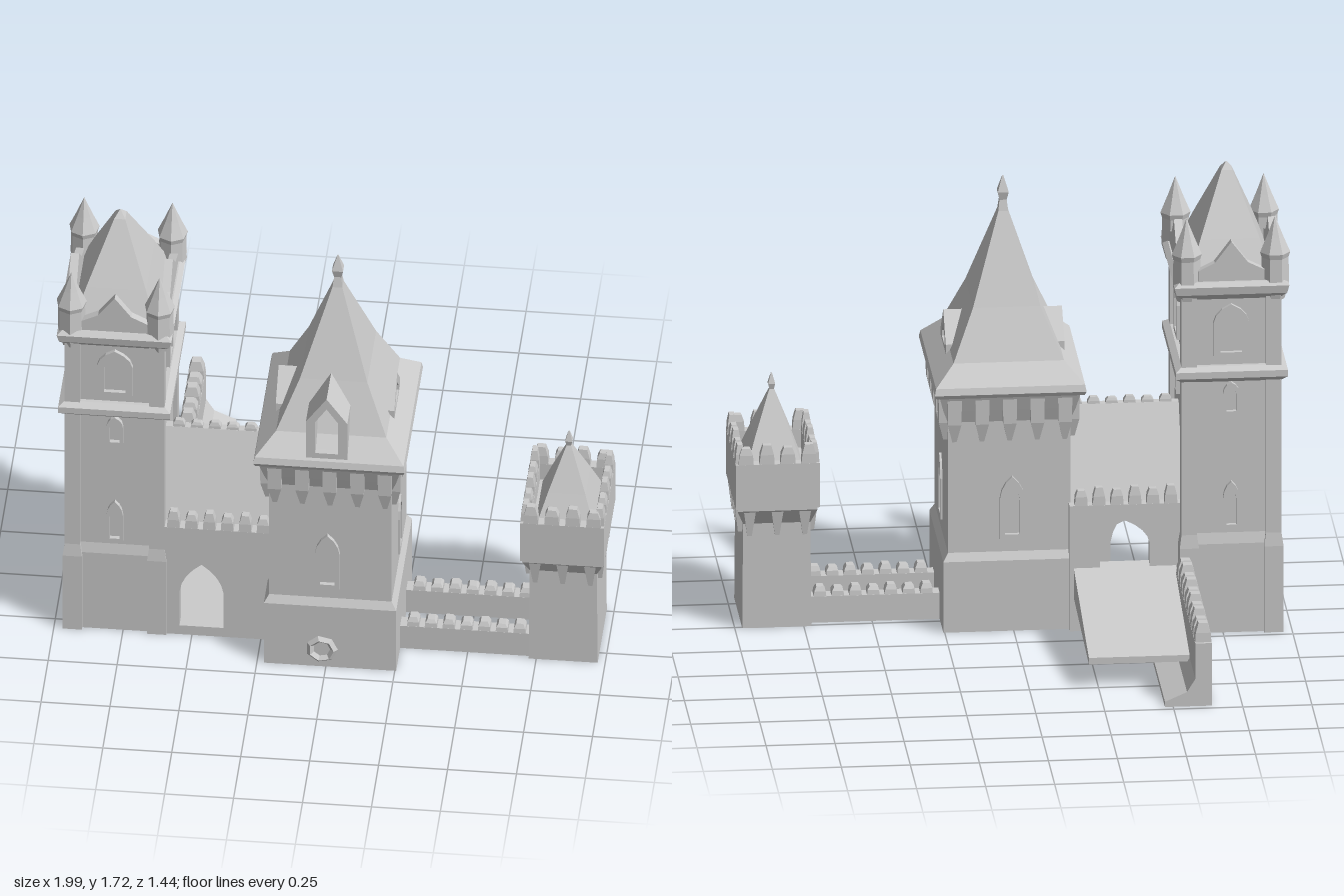
import * as THREE from 'three';

const mat = new THREE.MeshStandardMaterial({ color: 0xcccccc, flatShading: true, side: THREE.DoubleSide });

function add(parent, geo, name, x = 0, y = 0, z = 0) {
  const m = new THREE.Mesh(geo, mat);
  m.name = name;
  m.position.set(x, y, z);
  parent.add(m);
  return m;
}

function box(parent, name, x0, x1, y0, y1, z0, z1) {
  return add(parent, new THREE.BoxGeometry(x1 - x0, y1 - y0, z1 - z0), name, (x0 + x1) / 2, (y0 + y1) / 2, (z0 + z1) / 2);
}

// Solid of stacked rectangles; each ring is [y, halfX, halfZ]
function loft(parent, name, cx, cz, rings) {
  const p = [];
  const at = (r, k) => [[-1, 1], [1, 1], [1, -1], [-1, -1]][k % 4].map((s, i) => s * r[i + 1]);
  const v = (r, k) => { const [x, z] = at(r, k); return [x, r[0], z]; };
  for (let i = 0; i < rings.length - 1; i++) {
    const a = rings[i], b = rings[i + 1];
    for (let k = 0; k < 4; k++) {
      p.push(...v(a, k), ...v(a, k + 1), ...v(b, k + 1), ...v(a, k), ...v(b, k + 1), ...v(b, k));
    }
  }
  const lo = rings[0], hi = rings[rings.length - 1];
  p.push(...v(lo, 0), ...v(lo, 2), ...v(lo, 1), ...v(lo, 0), ...v(lo, 3), ...v(lo, 2));
  p.push(...v(hi, 0), ...v(hi, 1), ...v(hi, 2), ...v(hi, 0), ...v(hi, 2), ...v(hi, 3));
  const g = new THREE.BufferGeometry();
  g.setAttribute('position', new THREE.Float32BufferAttribute(p, 3));
  g.computeVertexNormals();
  return add(parent, g, name, cx, 0, cz);
}

// Row of tapered merlons along a wall top
function merlons(parent, x0, x1, z0, z1, y, h, n) {
  const alongX = x1 - x0 > z1 - z0;
  for (let i = 0; i < n; i++) {
    const t = (i + 0.5) / n, hx = (x1 - x0) / 2, hz = (z1 - z0) / 2;
    const a = alongX ? hx / n * 0.72 : hx, b = alongX ? hz : hz / n * 0.72;
    const top = y + h * (i % 2 ? 0.85 : 1);
    loft(parent, 'merlon', alongX ? x0 + t * 2 * hx : x0 + hx, alongX ? z0 + hz : z0 + t * 2 * hz,
      [[y - 0.005, a, b], [y + h * 0.5, a * 0.9, b * 0.9], [top, a * 0.55, b * 0.6]]);
  }
}

function archPath(C, w, y0, spring, top) {
  const s = new C();
  s.moveTo(-w, y0);
  s.lineTo(w, y0);
  s.lineTo(w, spring);
  s.quadraticCurveTo(w * 0.9, (spring + top) / 2 + 0.01, 0, top);
  s.quadraticCurveTo(-w * 0.9, (spring + top) / 2 + 0.01, -w, spring);
  s.closePath();
  return s;
}

// Raised pointed window frame, facing the given angle about y
function archWindow(parent, x, y, z, angle, w, h) {
  const s = archPath(THREE.Shape, w / 2, 0, h * 0.65, h);
  s.holes.push(archPath(THREE.Path, w * 0.3, h * 0.08, h * 0.62, h * 0.88));
  const g = new THREE.ExtrudeGeometry(s, { depth: 0.018, bevelEnabled: false, curveSegments: 3 });
  add(parent, g, 'windowFrame', x, y, z).rotation.y = angle;
}

// One window on each of the four faces
function windowsAround(parent, cx, cz, hx, hz, y, w, h) {
  archWindow(parent, cx, y, cz + hz, 0, w, h);
  archWindow(parent, cx + hx, y, cz, Math.PI / 2, w, h);
  archWindow(parent, cx, y, cz - hz, Math.PI, w, h);
  archWindow(parent, cx - hx, y, cz, -Math.PI / 2, w, h);
}

// Profile given as [z, y] points, extruded between x0 and x1
function sideProfile(parent, name, pts, x0, x1) {
  const s = new THREE.Shape(pts.map(([z, y]) => new THREE.Vector2(-z, y)));
  const g = new THREE.ExtrudeGeometry(s, { depth: x1 - x0, bevelEnabled: false });
  g.rotateY(Math.PI / 2);
  return add(parent, g, name, x0);
}

// Wall across x with an arched opening
function gateWall(parent, name, x0, x1, h, z0, z1, cx, w, y0, top) {
  const s = new THREE.Shape();
  [[x0, 0], [x1, 0], [x1, h], [x0, h]].forEach(([x, y], i) => (i ? s.lineTo(x - cx, y) : s.moveTo(x - cx, y)));
  s.holes.push(archPath(THREE.Path, w / 2, y0, y0 + (top - y0) * 0.55, top));
  add(parent, new THREE.ExtrudeGeometry(s, { depth: z1 - z0, bevelEnabled: false, curveSegments: 4 }), name, cx, 0, z0);
}

function group(parent, name) {
  const g = new THREE.Group();
  g.name = name;
  parent.add(g);
  return g;
}

function tallTower(root) {
  const g = group(root, 'tallTower'), cx = -0.78, cz = 0.29;
  loft(g, 'body', cx, cz, [[0, 0.175, 0.25], [0.34, 0.175, 0.25], [0.38, 0.165, 0.24], [1.33, 0.165, 0.24]]);
  for (const sx of [-1, 1]) for (const sz of [-1, 1]) {
    loft(g, 'cornerPilaster', cx + sx * 0.153, cz + sz * 0.23,
      [[0, 0.035, 0.035], [0.33, 0.035, 0.035], [0.38, 0.028, 0.028], [1.32, 0.028, 0.028]]);
    const x = cx + sx * 0.16, z = cz + sz * 0.225;
    const prof = [[0.035, 1.27], [0.052, 1.33], [0.05, 1.43], [0.056, 1.45], [0.03, 1.51], [0, 1.585]];
    add(g, new THREE.LatheGeometry(prof.map(([r, y]) => new THREE.Vector2(r, y)), 7), 'cornerTurret', x, 0, z);
  }
  loft(g, 'middleCornice', cx, cz, [[0.965, 0.18, 0.255], [0.985, 0.203, 0.278], [1.01, 0.203, 0.278], [1.025, 0.18, 0.255]]);
  loft(g, 'upperCornice', cx, cz, [[1.28, 0.175, 0.25], [1.305, 0.2, 0.275], [1.335, 0.208, 0.28], [1.35, 0.19, 0.265]]);
  // Pointed parapet gables between the turrets
  const gable = (w, x, z, r) => {
    const s = new THREE.Shape([[-w, 1.33], [w, 1.33], [w, 1.39], [w * 0.5, 1.42], [0, 1.5], [-w * 0.5, 1.42], [-w, 1.39]].map(q => new THREE.Vector2(...q)));
    add(g, new THREE.ExtrudeGeometry(s, { depth: 0.03, bevelEnabled: false }), 'parapetGable', x, 0, z).rotation.y = r;
  };
  gable(0.12, cx, cz + 0.225, 0);
  gable(0.12, cx, cz - 0.225, Math.PI);
  gable(0.18, cx + 0.155, cz, Math.PI / 2);
  gable(0.18, cx - 0.155, cz, -Math.PI / 2);
  loft(g, 'roof', cx - 0.005, cz + 0.005, [[1.33, 0.16, 0.225], [1.47, 0.108, 0.15], [1.69, 0.02, 0.025], [1.715, 0.002, 0.002]]);
  windowsAround(g, cx, cz, 0.163, 0.238, 1.06, 0.13, 0.2);
  windowsAround(g, cx, cz, 0.163, 0.238, 0.84, 0.06, 0.12);
  windowsAround(g, cx, cz, 0.163, 0.238, 0.4, 0.06, 0.18);
}

function mainTower(root) {
  const g = group(root, 'mainTower'), cx = 0.015, cz = 0.405;
  loft(g, 'body', cx, cz, [[0, 0.24, 0.278], [0.27, 0.24, 0.278], [0.3, 0.222, 0.262], [0.8, 0.222, 0.262],
    [0.85, 0.24, 0.28], [0.92, 0.258, 0.305]]);
  loft(g, 'roof', cx, cz - 0.005, [[0.91, 0.268, 0.312], [0.925, 0.275, 0.32], [0.95, 0.27, 0.313], [1.02, 0.2, 0.24], [1.2, 0.122, 0.155],
    [1.52, 0.018, 0.022], [1.56, 0.013, 0.013], [1.59, 0.02, 0.02], [1.65, 0.002, 0.002]]);
  // Corbels under the eaves
  const corbel = (x, z) => loft(g, 'corbel', x, z, [[0.73, 0.008, 0.008], [0.8, 0.024, 0.024], [0.9, 0.026, 0.026]]);
  for (let i = -2; i <= 2; i++) for (const s of [-1, 1]) {
    corbel(cx + i * 0.1, cz + s * 0.27);
    corbel(cx + s * 0.23, cz + i * 0.12);
  }
  // Dormers
  const dormer = (w, y0, spring, top, depth, x, z, r) => {
    const s = new THREE.Shape([[-w, y0], [w, y0], [w, spring], [0, top], [-w, spring]].map(q => new THREE.Vector2(...q)));
    s.holes.push(new THREE.Path([[-w * 0.55, y0 + 0.03], [w * 0.55, y0 + 0.03], [w * 0.55, spring], [0, top - 0.045], [-w * 0.55, spring]].map(q => new THREE.Vector2(...q))));
    add(g, new THREE.ExtrudeGeometry(s, { depth, bevelEnabled: false }), 'dormer', x, 0, z).rotation.y = r;
  };
  dormer(0.075, 0.95, 1.12, 1.225, 0.16, cx - 0.01, cz + 0.14, 0);
  dormer(0.1, 0.99, 1.04, 1.14, 0.12, cx + 0.095, cz, Math.PI / 2);
  dormer(0.1, 0.99, 1.04, 1.14, 0.12, cx - 0.095, cz, -Math.PI / 2);
  windowsAround(g, cx - 0.01, cz, 0.222, 0.26, 0.35, 0.09, 0.24);
  // Small round opening in the plinth
  add(g, new THREE.TorusGeometry(0.045, 0.014, 4, 7), 'roundWindow', cx - 0.03, 0.08, cz + 0.28);
}

function smallTower(root) {
  const g = group(root, 'smallTower'), cx = 0.848, cz = 0.4;
  loft(g, 'body', cx, cz, [[0, 0.125, 0.16], [0.4, 0.122, 0.158], [0.46, 0.145, 0.195], [0.57, 0.145, 0.195]]);
  const [x0, x1, z0, z1] = [cx - 0.152, cx + 0.152, cz - 0.2, cz + 0.2];
  const walls = [[x0, x1, z0, z0 + 0.04, 4], [x0, x1, z1 - 0.04, z1, 4], [x0, x0 + 0.035, z0, z1, 5], [x1 - 0.035, x1, z0, z1, 5]];
  for (const [a, b, c, d, n] of walls) {
    box(g, 'parapet', a, b, 0.47, 0.64, c, d);
    merlons(g, a, b, c, d, 0.64, 0.07, n);
  }
  for (const s of [-1, 1]) for (const i of [-1, 0, 1]) {
    loft(g, 'corbel', cx + i * 0.1, cz + s * 0.17, [[0.36, 0.008, 0.008], [0.48, 0.025, 0.025]]);
    loft(g, 'corbel', cx + s * 0.13, cz + i * 0.12, [[0.36, 0.008, 0.008], [0.48, 0.022, 0.022]]);
  }
  loft(g, 'roof', cx + 0.005, cz, [[0.56, 0.115, 0.155], [0.7, 0.068, 0.085], [0.84, 0.016, 0.018], [0.86, 0.008, 0.008], [0.88, 0.013, 0.013], [0.92, 0.002, 0.002]]);
}

function gatehouse(root) {
  const g = group(root, 'gatehouse');
  gateWall(g, 'frontWall', -0.62, -0.2, 0.48, 0.5, 0.545, -0.465, 0.16, 0.04, 0.32);
  gateWall(g, 'backWall', -0.62, -0.2, 0.48, 0.1, 0.14, -0.4, 0.18, 0.22, 0.42);
  merlons(g, -0.6, -0.21, 0.5, 0.545, 0.48, 0.065, 6);
  merlons(g, -0.6, -0.21, 0.1, 0.14, 0.48, 0.065, 6);
  sideProfile(g, 'hallRoof', [[0.5, 0.42], [0.35, 0.79], [0.32, 0.79], [0.14, 0.45], [0.14, 0.42]], -0.62, -0.2);
  merlons(g, -0.6, -0.21, 0.32, 0.35, 0.785, 0.03, 6);
  box(g, 'gateStep', -0.6, -0.22, 0, 0.035, 0.12, 0.54);
}

function ramp(root) {
  const g = group(root, 'ramp');
  sideProfile(g, 'deck', [[0.14, 0.13], [0.14, 0.25], [-0.5, 0.115], [-0.5, 0.09]], -0.585, -0.215);
  box(g, 'sideWall', -0.64, -0.58, 0, 0.24, -0.725, 0.05);
  merlons(g, -0.64, -0.58, -0.725, 0.04, 0.24, 0.07, 10);
  // Sloping foot along the inner side of the wall
  const foot = new THREE.Shape([[-0.59, 0], [-0.47, 0], [-0.47, 0.02], [-0.55, 0.055], [-0.59, 0.12]].map(q => new THREE.Vector2(...q)));
  add(g, new THREE.ExtrudeGeometry(foot, { depth: 0.65, bevelEnabled: false }), 'wallFoot', 0, 0, -0.725);
  loft(g, 'buttress', -0.645, -0.01, [[0, 0.04, 0.05], [0.2, 0.01, 0.04]]);
}

function lowWalls(root) {
  const g = group(root, 'lowWalls');
  for (const z of [0.275, 0.49]) {
    box(g, 'lowWall', 0.24, 0.74, 0, 0.1, z, z + 0.055);
    merlons(g, 0.27, 0.72, z, z + 0.055, 0.1, 0.035, 7);
  }
}

export function createModel() {
  const root = new THREE.Group();
  root.name = 'castle';
  [tallTower, mainTower, smallTower, gatehouse, ramp, lowWalls].forEach(build => build(root));
  return root;
}
